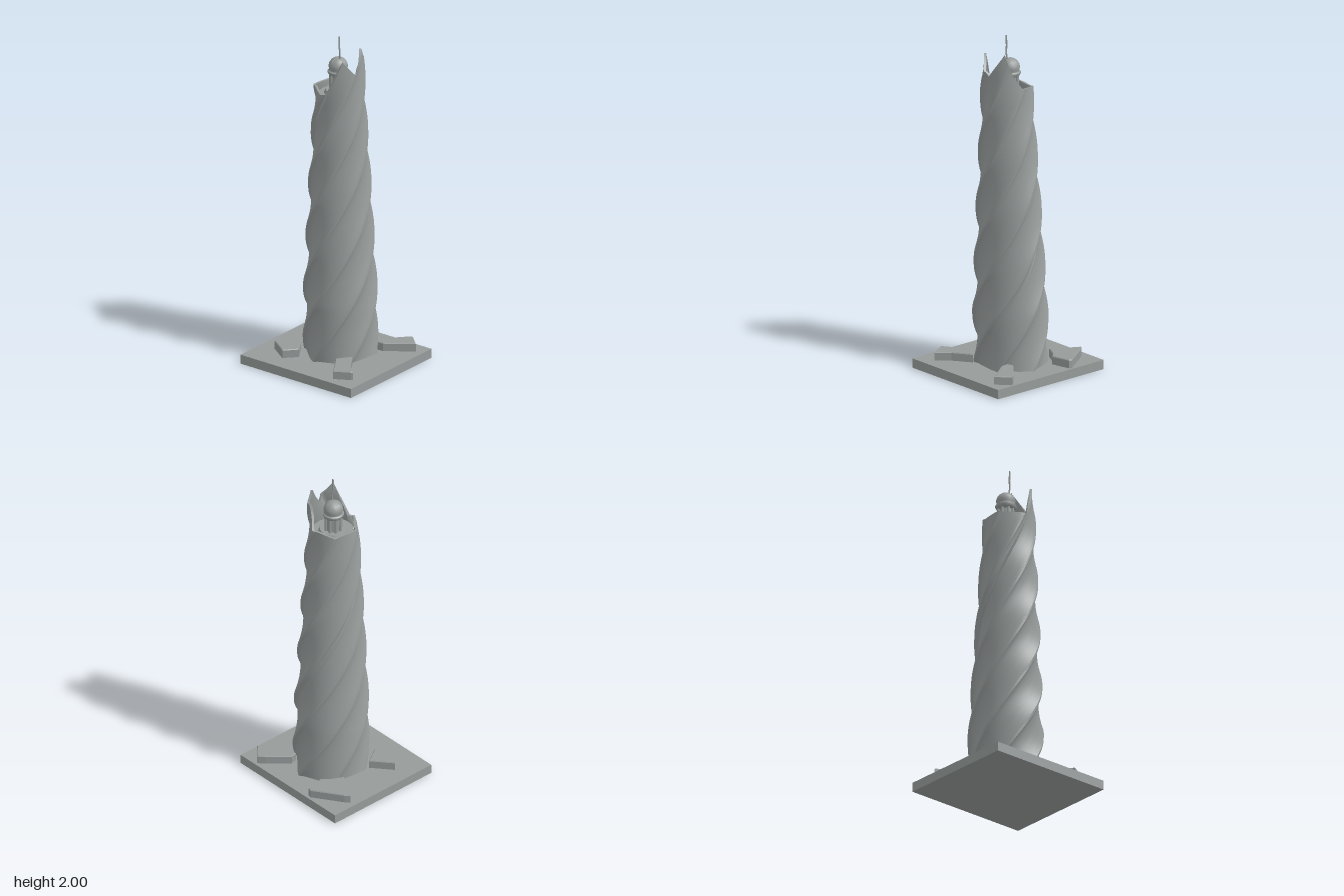
import * as THREE from 'three';
import { toCreasedNormals } from 'three/addons/utils/BufferGeometryUtils.js';

const RAD = Math.PI / 180;

// linear interpolation through [key, value] pairs
function lerpTable(table, k) {
  for (let i = 1; i < table.length; i++) {
    const [k0, v0] = table[i - 1], [k1, v1] = table[i];
    if (k <= k1) return v0 + (v1 - v0) * Math.max(0, (k - k0) / (k1 - k0));
  }
  return table[table.length - 1][1];
}

// one of six panels: raised lip, small step, then a shallow hollow
const PANEL = [[0, 1], [0.07, 0.995], [0.12, 0.935], [0.2, 0.905], [0.3, 0.885], [0.4, 0.875], [0.5, 0.875],
  [0.6, 0.885], [0.65, 0.892], [0.7, 0.9], [0.8, 0.925], [0.9, 0.958]];
// rim height around the tower, with two pointed peaks
const RIM = [[0, 1.69], [72, 1.685], [78, 1.89], [138, 1.78], [159, 1.92], [200, 1.8], [241, 1.71], [300, 1.69], [360, 1.69]];
const RADIUS_X = [[0.05, 0.205], [0.35, 0.207], [1, 0.178], [1.6, 0.153], [1.92, 0.142]];
const RADIUS_Z = [[0.05, 0.226], [0.4, 0.228], [1, 0.197], [1.6, 0.156], [1.92, 0.144]];

function wallPoint(phi, factor, y, inset) {
  const a = (phi - 3 + 184 * (y - 0.08)) * RAD;
  const h = (y - 0.05) / 1.6;
  return [
    0.004 + 0.01 * h + Math.sin(a) * (lerpTable(RADIUS_X, y) * factor - inset),
    y,
    -0.036 + 0.024 * h + Math.cos(a) * (lerpTable(RADIUS_Z, y) * factor - inset),
  ];
}

// twisted shell: outside from the ground to the rim, then back down inside
function twistedWall() {
  const columns = [];
  for (let k = 0; k < 6; k++) for (const [t, f] of PANEL) columns.push([60 * (k + t), f]);
  const outer = 90, inner = 12, rows = outer + inner + 2, n = columns.length;
  const pos = [], index = [];
  for (let j = 0; j < rows; j++) {
    for (const [phi, f] of columns) {
      const top = lerpTable(RIM, phi);
      const p = j <= outer
        ? wallPoint(phi, f, 0.05 + (top - 0.05) * j / outer, 0)
        : wallPoint(phi, f, top + (1.62 - top) * (j - outer - 1) / inner, 0.014);
      pos.push(...p);
    }
  }
  for (let j = 0; j < rows - 1; j++) {
    for (let i = 0; i < n; i++) {
      const a = j * n + i, b = j * n + (i + 1) % n;
      index.push(a, b, b + n, a, b + n, a + n);
    }
  }
  const g = new THREE.BufferGeometry();
  g.setAttribute('position', new THREE.Float32BufferAttribute(pos, 3));
  g.setIndex(index);
  return toCreasedNormals(g, 35 * RAD);
}

// flat stone from an outline of [x, z] corners
function stoneGeometry(outline) {
  const shape = new THREE.Shape(outline.map(([x, z]) => new THREE.Vector2(x, -z)));
  const g = new THREE.ExtrudeGeometry(shape, {
    depth: 0.05, bevelEnabled: true, bevelThickness: 0.005, bevelSize: 0.004, bevelOffset: -0.004, bevelSegments: 1,
  });
  return g.rotateX(-Math.PI / 2).translate(0, 0.05, 0);
}

export function createModel() {
  const model = new THREE.Group();
  const stoneGrey = new THREE.MeshStandardMaterial({ color: 0x969b9a });
  stoneGrey.name = 'stone grey';

  const add = (name, geometry, x = 0, y = 0, z = 0, parent = model) => {
    const mesh = new THREE.Mesh(geometry, stoneGrey);
    mesh.name = name;
    mesh.position.set(x, y, z);
    parent.add(mesh);
    return mesh;
  };

  // ground slab
  add('basePlate', new THREE.BoxGeometry(0.795, 0.055, 0.735), -0.0025, 0.0275, -0.0025);

  // tower shell and the deck inside its rim
  add('twistedTower', twistedWall());
  add('roofDeck', new THREE.CylinderGeometry(0.118, 0.118, 0.03, 36), 0.012, 1.635, -0.012);
  add('roofStep', new THREE.CylinderGeometry(0.075, 0.085, 0.025, 24), 0.004, 1.66, -0.02);

  // turret with a ring of columns, a cornice and a dome
  const turret = new THREE.Group();
  turret.name = 'turret';
  turret.position.set(-0.002, 0, -0.022);
  model.add(turret);
  add('turretCore', new THREE.CylinderGeometry(0.042, 0.042, 0.12, 24), 0, 1.715, 0, turret);
  for (let i = 0; i < 8; i++) {
    const a = (i + 0.5) * Math.PI / 4;
    add('turretColumn', new THREE.CylinderGeometry(0.008, 0.01, 0.1, 8), 0.044 * Math.sin(a), 1.72, 0.044 * Math.cos(a), turret);
  }
  const domeProfile = [[0.04, 1.755], [0.054, 1.762], [0.06, 1.772], [0.06, 1.782], [0.053, 1.788], [0.053, 1.8],
    [0.056, 1.81], [0.052, 1.828], [0.041, 1.846], [0.024, 1.858], [0, 1.863]].map(([r, y]) => new THREE.Vector2(r, y));
  add('turretDome', toCreasedNormals(new THREE.LatheGeometry(domeProfile, 28), 40 * RAD), 0, 0, 0, turret);

  // slightly bent mast
  const mast = new THREE.CatmullRomCurve3([[0.012, 1.85, -0.015], [0.018, 1.89, -0.012], [0.015, 1.94, -0.01], [0.016, 2, -0.009]]
    .map((p) => new THREE.Vector3(...p)));
  add('mast', new THREE.TubeGeometry(mast, 16, 0.0045, 8));
  add('mastTip', new THREE.SphereGeometry(0.0045, 8, 6), 0.016, 1.9955, -0.009);

  // four stones around the foot
  const stones = {
    backRightStone: [[-0.365, -0.22], [-0.34, -0.245], [-0.175, -0.355], [-0.155, -0.35], [-0.13, -0.235], [-0.165, -0.2], [-0.205, -0.125], [-0.275, -0.17]],
    backLeftStone: [[0.275, -0.355], [0.35, -0.285], [0.2, -0.175], [0.15, -0.17], [0.14, -0.21], [0.24, -0.325]],
    frontRightStone: [[-0.3, 0.18], [-0.185, 0.085], [-0.12, 0.185], [-0.185, 0.257]],
    frontLeftStone: [[0.125, 0.165], [0.185, 0.085], [0.255, 0.19], [0.325, 0.255], [0.315, 0.265], [0.225, 0.315], [0.175, 0.235]],
  };
  for (const [name, outline] of Object.entries(stones)) add(name, stoneGeometry(outline));

  return model;
}
